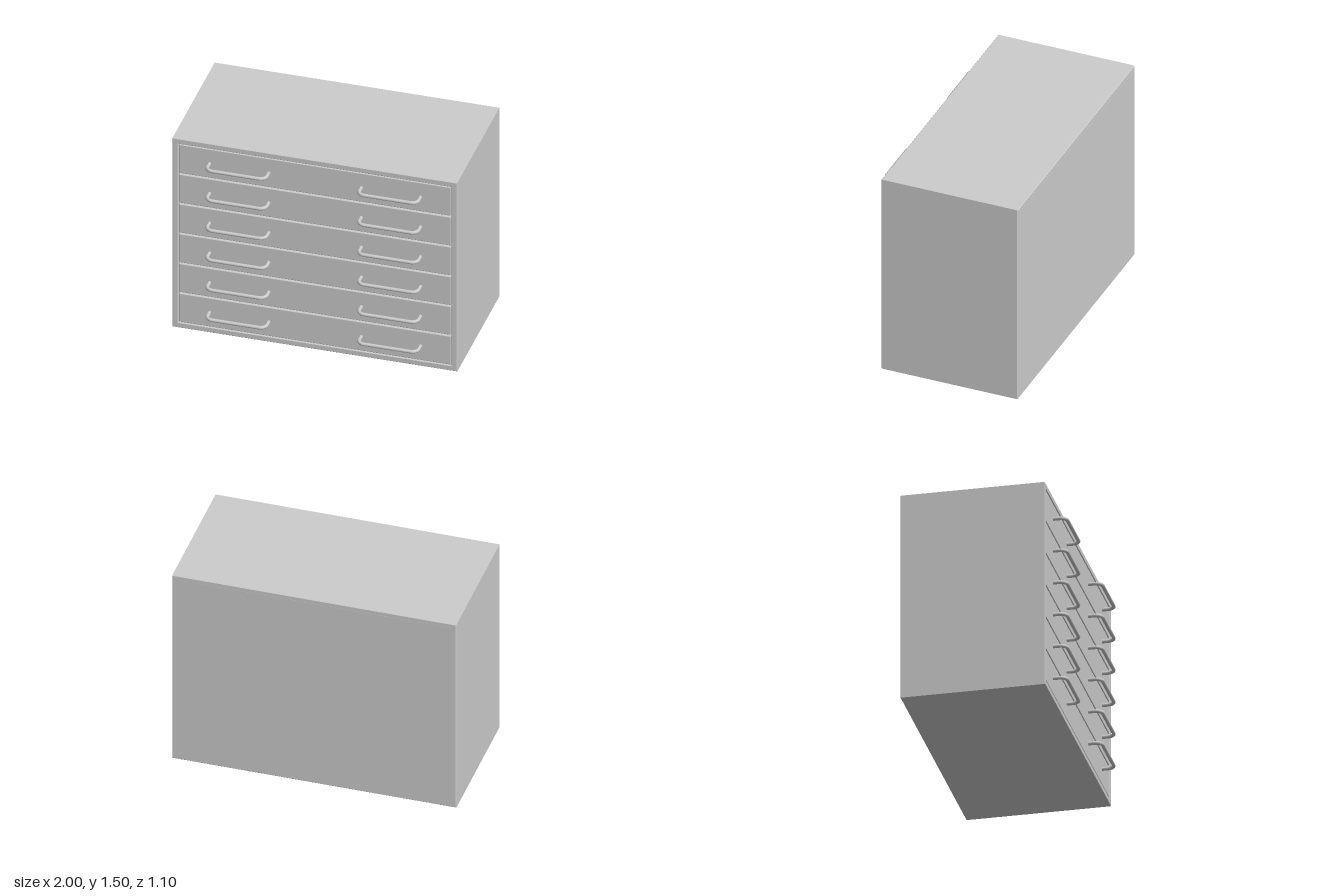
import * as THREE from 'three';
import { RoundedBoxGeometry } from 'three/addons/geometries/RoundedBoxGeometry.js';

const W = 2, H = 1.5, BACK = -0.55, FRONT = 0.45, WALL = 0.04;
const DRAWERS = 6, GAP = 0.01, BEVEL = 0.004;
const PITCH = (H - 2 * WALL) / DRAWERS;
const material = new THREE.MeshStandardMaterial({ color: 0xcccccc });

function part(name, geometry, x = 0, y = 0, z = 0) {
  const mesh = new THREE.Mesh(geometry, material);
  mesh.name = name;
  mesh.position.set(x, y, z);
  return mesh;
}

function rectangle(PathType, x, y0, y1) {
  return new PathType([[-x, y0], [x, y0], [x, y1], [-x, y1]].map(p => new THREE.Vector2(...p)));
}

// Hollow case with finely bevelled edges
function caseGeometry() {
  const shape = rectangle(THREE.Shape, W / 2, 0, H);
  shape.holes.push(rectangle(THREE.Path, W / 2 - WALL, WALL, H - WALL));
  return new THREE.ExtrudeGeometry(shape, {
    depth: FRONT - BACK - 0.001 - 2 * BEVEL,
    bevelThickness: BEVEL, bevelSize: BEVEL, bevelOffset: -BEVEL, bevelSegments: 1,
  });
}

// U-shaped pull: two legs, two rounded bends and a bar
function handleGeometry() {
  const half = 0.208, reach = 0.087, r = 0.045, root = -0.015;
  const v = (x, z) => new THREE.Vector3(x, 0, z);
  const path = new THREE.CurvePath();
  const bend = (cx, from, to) => {
    const points = [];
    for (let i = 0; i <= 8; i++) {
      const a = from + (to - from) * i / 8;
      points.push(v(cx + r * Math.cos(a), reach - r + r * Math.sin(a)));
    }
    return new THREE.CatmullRomCurve3(points);
  };
  path.add(new THREE.LineCurve3(v(-half, root), v(-half, reach - r)));
  path.add(bend(-half + r, Math.PI, Math.PI / 2));
  path.add(new THREE.LineCurve3(v(-half + r, reach), v(half - r, reach)));
  path.add(bend(half - r, Math.PI / 2, 0));
  path.add(new THREE.LineCurve3(v(half, reach - r), v(half, root)));
  return new THREE.TubeGeometry(path, 80, 0.0125, 16, false);
}

export function createModel() {
  const model = new THREE.Group();
  model.name = 'drawerCabinet';

  model.add(part('case', caseGeometry(), 0, 0, BACK + 0.001 + BEVEL));
  model.add(part('backPanel', new THREE.BoxGeometry(W - 2 * WALL + 0.02, H - 2 * WALL + 0.02, 0.02),
    0, H / 2, BACK + 0.01));

  const frontHeight = PITCH - GAP, frontWidth = W - 2 * WALL - GAP;
  const frontGeo = new RoundedBoxGeometry(frontWidth, frontHeight, 0.04, 2, 0.006);
  const bodyGeo = new THREE.BoxGeometry(frontWidth - 0.04, frontHeight - 0.04, 0.88);
  const handleGeo = handleGeometry();

  // Stacked drawers, each with a pair of pulls
  for (let i = 0; i < DRAWERS; i++) {
    const drawer = new THREE.Group();
    drawer.name = `drawer${i + 1}`;
    drawer.position.y = WALL + PITCH * (i + 0.5);
    drawer.add(part('drawerFront', frontGeo, 0, 0, FRONT - 0.022));
    drawer.add(part('drawerBody', bodyGeo, 0, 0, FRONT - 0.04 - 0.44));
    for (const side of [-1, 1]) {
      drawer.add(part(side > 0 ? 'leftHandle' : 'rightHandle', handleGeo, side * 0.533, 0, FRONT));
    }
    model.add(drawer);
  }
  return model;
}
